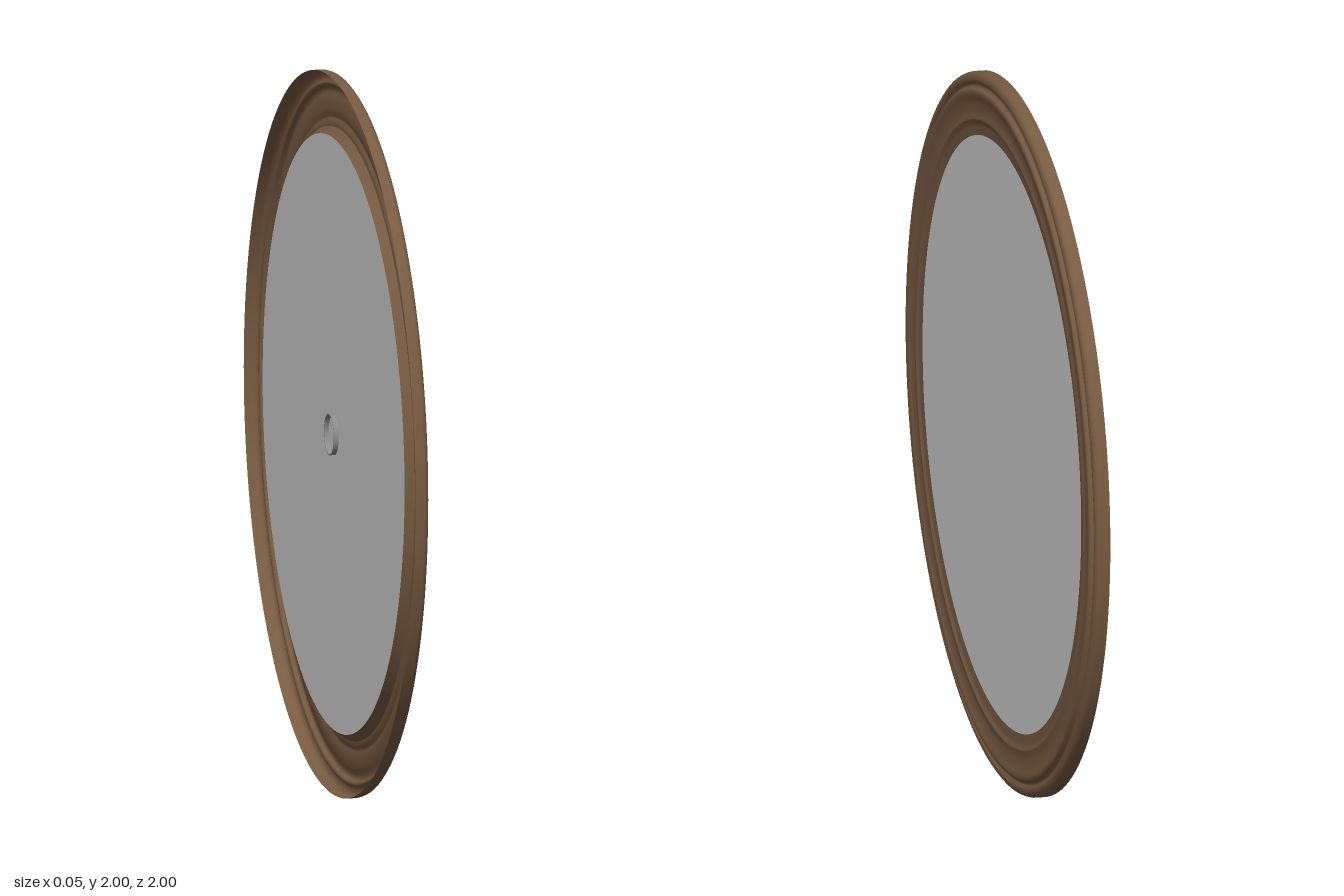
import * as THREE from 'three';

const wood = new THREE.MeshStandardMaterial({ color: 0x785b42, side: THREE.DoubleSide });
wood.name = 'brown wood';
const glass = new THREE.MeshStandardMaterial({ color: 0xd2d2d2 });
glass.name = 'mirror grey';
const metal = new THREE.MeshStandardMaterial({ color: 0x8c8c8c, side: THREE.DoubleSide });
metal.name = 'hanger grey';

// Revolves a [radius, depth] profile about the y axis; the group later turns y to +x.
function turned(name, profile, material, segments = 128) {
  const points = profile.map(([r, d]) => new THREE.Vector2(r, d));
  const mesh = new THREE.Mesh(new THREE.LatheGeometry(points, segments), material);
  mesh.name = name;
  return mesh;
}

// Flat disc facing forward (+1) or backward (-1) along the mirror axis.
function disc(name, radius, depth, facing, material) {
  const mesh = new THREE.Mesh(new THREE.CircleGeometry(radius, 128), material);
  mesh.rotation.x = -facing * Math.PI / 2;
  mesh.position.y = depth;
  mesh.name = name;
  return mesh;
}

export function createModel() {
  const mirror = new THREE.Group();
  mirror.name = 'roundMirror';

  // Hollow moulded frame: outer bead, groove, raised ridge, cove and inner lip
  mirror.add(turned('frameMoulding', [
    [1, -0.025], [1, 0], [0.997, 0.008], [0.99, 0.013], [0.98, 0.0155],
    [0.972, 0.014], [0.966, 0.009], [0.961, 0.009], [0.956, 0.012],
    [0.953, 0.019], [0.947, 0.022], [0.938, 0.022], [0.929, 0.019],
    [0.915, 0.0155], [0.895, 0.014], [0.88, 0.015], [0.872, 0.018],
    [0.866, 0.0175], [0.86, 0.013], [0.85, 0.0115], [0.825, 0.010],
  ], wood));

  // Inner wall of the frame that holds the glass
  mirror.add(turned('frameInnerWall', [[0.845, 0.0105], [0.826, -0.014]], wood));

  // Mirror glass and backing plate
  mirror.add(disc('mirrorGlass', 0.835, 0.0095, 1, glass));
  mirror.add(disc('backPlate', 0.826, -0.014, -1, glass));

  // Small hanging ring on the back
  mirror.add(turned('hangingRing', [
    [0.054, -0.014], [0.054, -0.027], [0.058, -0.027], [0.058, -0.014],
  ], metal, 48));

  // Face the mirror toward +x and stand it on the ground
  mirror.rotation.z = -Math.PI / 2;
  mirror.position.set(0.0015, 1, 0);

  const model = new THREE.Group();
  model.name = 'mirrorModel';
  model.add(mirror);
  return model;
}
